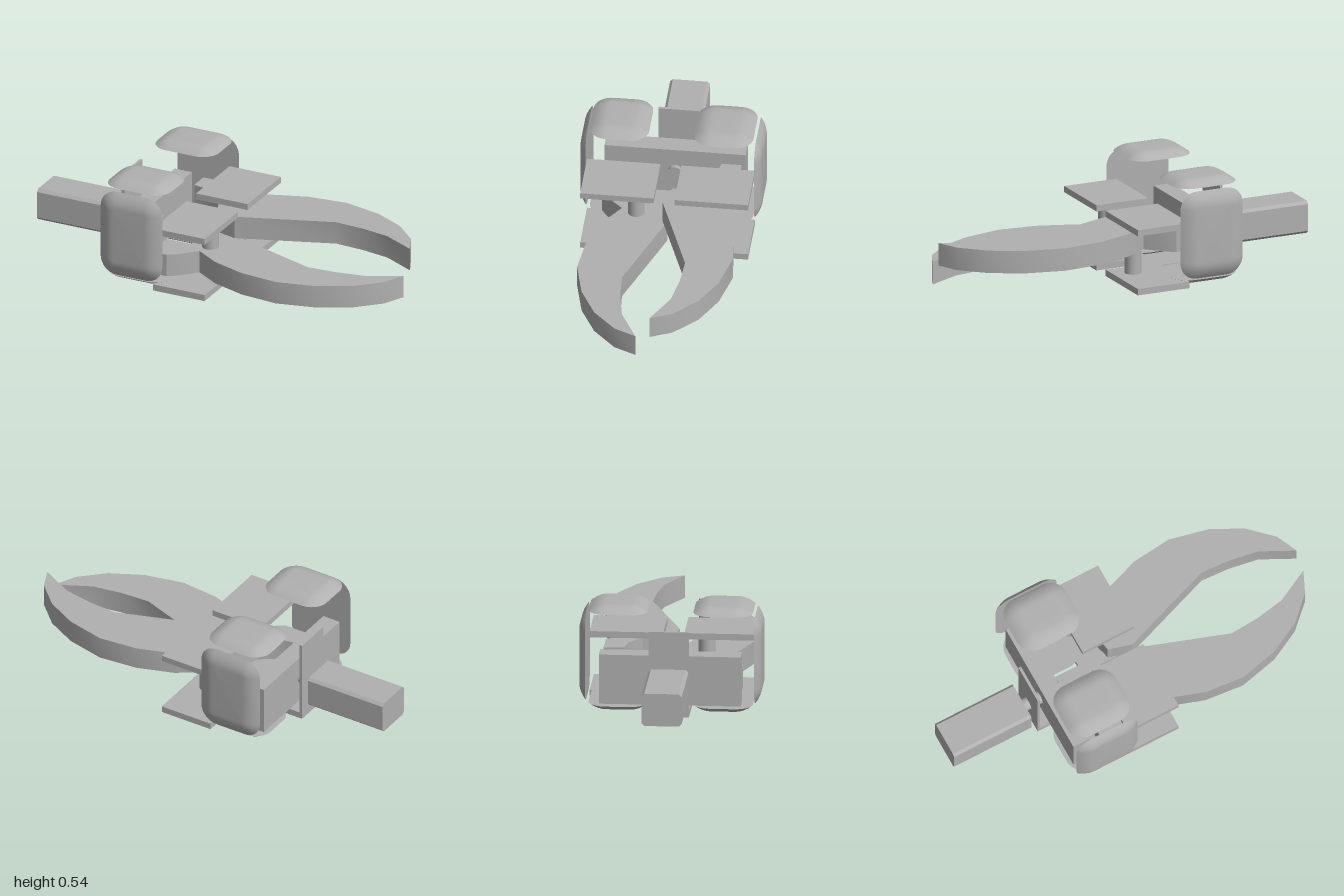
import * as THREE from 'three';
import { toCreasedNormals } from 'three/addons/utils/BufferGeometryUtils.js';

const grey = new THREE.MeshStandardMaterial({ color: 0xb0b0b0 });
grey.name = 'plain grey';

function add(parent, name, geometry) {
  const mesh = new THREE.Mesh(geometry, grey);
  mesh.name = name;
  parent.add(mesh);
  return mesh;
}

// Box given by its minimum and maximum on each axis
function box(parent, name, [x0, x1], [y0, y1], [z0, z1]) {
  const mesh = add(parent, name, new THREE.BoxGeometry(x1 - x0, y1 - y0, z1 - z0));
  mesh.position.set((x0 + x1) / 2, (y0 + y1) / 2, (z0 + z1) / 2);
  return mesh;
}

// One loop of a rounded rectangle, pulled in by an inset
function roundedLoop(w, h, r, inset, z) {
  const steps = 8, loop = [], rad = Math.max(r - inset, 0.012);
  const cx = w / 2 - inset - rad, cy = h / 2 - inset - rad;
  [[1, 1], [-1, 1], [-1, -1], [1, -1]].forEach(([sx, sy], q) => {
    for (let i = 0; i <= steps; i++) {
      const a = (q + i / steps) * Math.PI / 2;
      loop.push([sx * cx + rad * Math.cos(a), sy * cy + rad * Math.sin(a), z]);
    }
  });
  return loop;
}

// Flat-backed pad whose rim curves up to a flat face
function padGeometry(w, h, depth) {
  const loops = [], rows = 8, positions = [];
  for (let i = 0; i <= rows; i++) {
    const s = i / rows;
    loops.push(roundedLoop(w, h, 0.09, 0.085 * s, depth * (1 - (1 - s) ** 2)));
  }
  const n = loops[0].length;
  const tri = (...pts) => pts.forEach((p) => positions.push(...p));
  for (let j = 0; j < n; j++) {
    const k = (j + 1) % n;
    for (let i = 0; i < rows; i++) {
      tri(loops[i][j], loops[i][k], loops[i + 1][k]);
      tri(loops[i][j], loops[i + 1][k], loops[i + 1][j]);
    }
    tri([0, 0, depth], loops[rows][j], loops[rows][k]);
    tri([0, 0, 0], loops[0][k], loops[0][j]);
  }
  const geometry = new THREE.BufferGeometry();
  geometry.setAttribute('position', new THREE.Float32BufferAttribute(positions, 3));
  return toCreasedNormals(geometry, 0.6);
}

// Jaw outline in x and z: curved blade, pivot area and rear arm
const jawOutline = [
  [0.05, -0.012], [0.53, 0.157], [0.68, 0.148], [0.83, 0.122], [1, 0.035],
  [0.95, 0.145], [0.83, 0.26], [0.67, 0.342], [0.47, 0.388], [0.27, 0.368],
  [0.09, 0.307], [-0.035, 0.225], [-0.115, 0.31], [-0.16, 0.34], [-0.3, 0.34],
  [-0.3, 0.24], [-0.2, 0.22], [-0.11, 0.16], [-0.075, 0.05], [-0.07, 0.022],
];

function jawGeometry(side, bottom, top) {
  const shape = new THREE.Shape(jawOutline.map(([x, z]) => new THREE.Vector2(x, z * side)));
  const geometry = new THREE.ExtrudeGeometry(shape, { depth: top - bottom, bevelEnabled: false });
  geometry.rotateX(Math.PI / 2);
  geometry.translate(0, top, 0);
  return toCreasedNormals(geometry, 0.45);
}

export function createModel() {
  const model = new THREE.Group();
  model.name = 'gripper';

  // Actuator body with trimmed long edges
  const w = 0.1, h = 0.083, c = 0.014;
  const section = new THREE.Shape([
    [-w + c, -h], [w - c, -h], [w, -h + c], [w, h - c],
    [w - c, h], [-w + c, h], [-w, h - c], [-w, -h + c],
  ].map(([x, y]) => new THREE.Vector2(x, y)));
  const body = add(model, 'actuatorBody',
    new THREE.ExtrudeGeometry(section, { depth: 0.435, bevelEnabled: false }));
  body.rotation.y = Math.PI / 2;
  body.position.set(-1, 0.172, 0);

  // Push rod through the mounting plate
  const rod = add(model, 'pushRod', new THREE.CylinderGeometry(0.033, 0.033, 0.22, 32));
  rod.rotation.z = Math.PI / 2;
  rod.position.set(-0.46, 0.172, 0);

  // Central bracket and cross block
  box(model, 'mountingPlate', [-0.53, -0.516], [0.002, 0.437], [-0.1, 0.1]);
  box(model, 'baseStrip', [-0.53, -0.095], [0, 0.033], [-0.1, 0.1]);
  box(model, 'crossBlock', [-0.465, -0.37], [0.043, 0.296], [-0.352, 0.352]);

  for (const side of [1, -1]) {
    const half = new THREE.Group();
    half.name = side > 0 ? 'leftHalf' : 'rightHalf';
    model.add(half);

    // Plates above and below the jaw, joined by the pivot pin
    const zRange = side > 0 ? [0.052, 0.418] : [-0.418, -0.052];
    box(half, 'upperPlate', [-0.195, 0.09], [0.305, 0.337], zRange);
    box(half, 'lowerPlate', [-0.195, 0.09], [0, 0.033], zRange);
    const pin = add(half, 'pivotPin', new THREE.CylinderGeometry(0.042, 0.042, 0.272, 32));
    pin.position.set(-0.012, 0.169, side * 0.151);

    // The two jaws sit at different heights
    add(half, 'jaw', side > 0 ? jawGeometry(1, 0.053, 0.169) : jawGeometry(-1, 0.17, 0.286));

    // Pads on the outside, top and bottom
    const sidePad = add(half, 'sidePad', padGeometry(0.342, 0.45, 0.033));
    sidePad.position.set(-0.314, 0.27, side * 0.42);
    if (side < 0) sidePad.rotation.y = Math.PI;
    const topPad = add(half, 'topPad', padGeometry(0.342, 0.295, 0.033));
    topPad.position.set(-0.314, 0.506, side * 0.26);
    topPad.rotation.x = -Math.PI / 2;
    const bottomPad = add(half, 'bottomPad', padGeometry(0.342, 0.295, 0.033));
    bottomPad.position.set(-0.314, 0.034, side * 0.26);
    bottomPad.rotation.x = Math.PI / 2;
  }
  return model;
}
